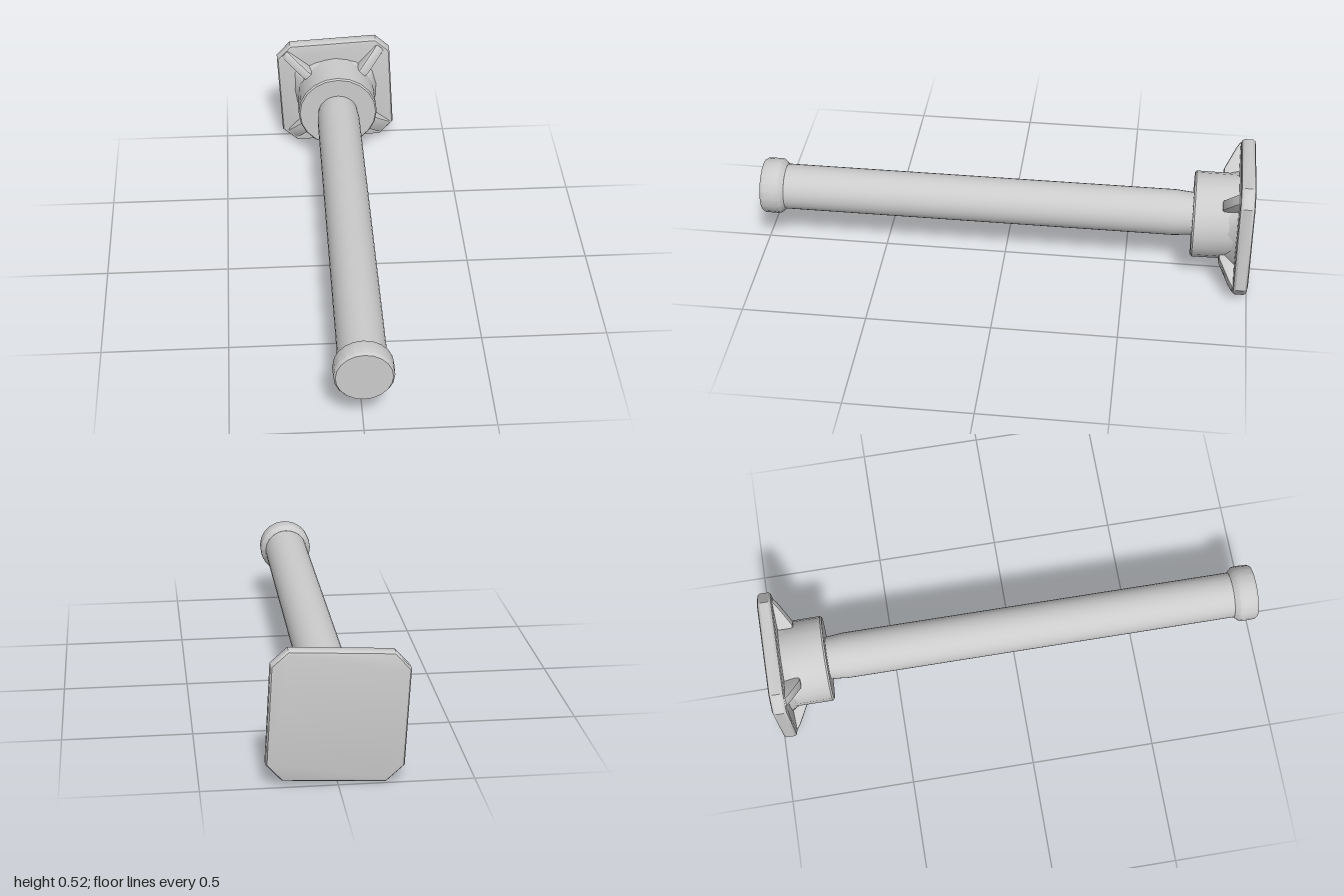
import * as THREE from 'three';
import { toCreasedNormals } from 'three/addons/utils/BufferGeometryUtils.js';

const CY = 0.265; // height of the rod axis
const material = new THREE.MeshStandardMaterial({ color: 0xcccccc });

function addMesh(parent, name, geometry, crease = 0.6) {
  const mesh = new THREE.Mesh(toCreasedNormals(geometry, crease), material);
  mesh.name = name;
  parent.add(mesh);
  return mesh;
}

// Solid of revolution about the z axis from [radius, z] pairs, back to front
function turned(profile, segments) {
  const points = profile.map(([r, z]) => new THREE.Vector2(r, z));
  return new THREE.LatheGeometry(points, segments).rotateX(Math.PI / 2);
}

const outline = (points) => new THREE.Shape(points.map(([x, y]) => new THREE.Vector2(x, y)));

export function createModel() {
  const group = new THREE.Group();
  const axis = new THREE.Group();
  axis.name = 'postAssembly';
  axis.position.y = CY;
  group.add(axis);

  // Slightly skewed square plate with clipped corners and bevelled rims
  const plate = outline([
    [-0.262, 0.175], [-0.243, -0.2], [-0.175, -0.262], [0.203, -0.241],
    [0.262, -0.175], [0.241, 0.205], [0.178, 0.262], [-0.203, 0.241],
  ]);
  const plateGeometry = new THREE.ExtrudeGeometry(plate, {
    depth: 0.034, bevelThickness: 0.013, bevelSize: 0.018, bevelOffset: -0.018, bevelSegments: 2,
  }).translate(0, 0, -0.987);
  addMesh(axis, 'wallPlate', plateGeometry, 0.7);

  // Irregular skirt spreading from the collar onto the plate
  const skirt = outline([
    [-0.186, 0.108], [-0.186, 0.02], [-0.165, -0.115], [-0.1, -0.165], [-0.07, -0.178],
    [0, -0.187], [0.07, -0.178], [0.125, -0.135], [0.18, -0.115], [0.186, 0.03], [0.165, 0.108],
    [0.09, 0.155], [0, 0.172], [-0.09, 0.155],
  ]);
  const skirtGeometry = new THREE.ExtrudeGeometry(skirt, { depth: 0.055, bevelEnabled: false })
    .translate(0, 0, -0.945);
  const p = skirtGeometry.attributes.position;
  for (let i = 0; i < p.count; i++) {
    if (p.getZ(i) > -0.92) {
      const s = 0.165 / Math.hypot(p.getX(i), p.getY(i));
      p.setXY(i, p.getX(i) * s, p.getY(i) * s);
    }
  }
  addMesh(axis, 'collarSkirt', skirtGeometry);

  // Collar, rod and end cap
  addMesh(axis, 'collar', turned([
    [0, -0.945], [0.173, -0.945], [0.174, -0.77], [0.168, -0.763], [0, -0.763],
  ], 20));
  addMesh(axis, 'rod', turned([
    [0, -0.78], [0.085, -0.78], [0.087, -0.755], [0.093, -0.69], [0.093, 0.93], [0, 0.93],
  ], 32));
  addMesh(axis, 'endCap', turned([
    [0, 0.905], [0.094, 0.905], [0.112, 0.925], [0.114, 0.94], [0.113, 0.99], [0.106, 1], [0, 1],
  ], 20));

  // Sloping corner ribs: start, end and width of each
  const ribs = [
    [[0.08, 0.085], [0.2, 0.225], 0.045],
    [[-0.085, 0.085], [-0.228, 0.203], 0.042],
    [[-0.075, -0.085], [-0.198, -0.222], 0.062],
    [[0.08, -0.085], [0.228, -0.2], 0.075],
  ];
  for (const [[x0, y0], [x1, y1], width] of ribs) {
    const length = Math.hypot(x1 - x0, y1 - y0);
    const side = outline([[0, -0.95], [length, -0.95], [length, -0.938], [length - 0.025, -0.922], [0.07, -0.878], [0, -0.878]]);
    const geometry = new THREE.ExtrudeGeometry(side, {
      depth: width - 0.02, bevelThickness: 0.01, bevelSize: 0.009, bevelOffset: -0.009, bevelSegments: 2,
    }).translate(0, 0, 0.01 - width / 2).rotateX(Math.PI / 2);
    const rib = addMesh(axis, 'cornerRib', geometry);
    rib.position.set(x0, y0, 0);
    rib.rotation.z = Math.atan2(y1 - y0, x1 - x0);
  }
  return group;
}
